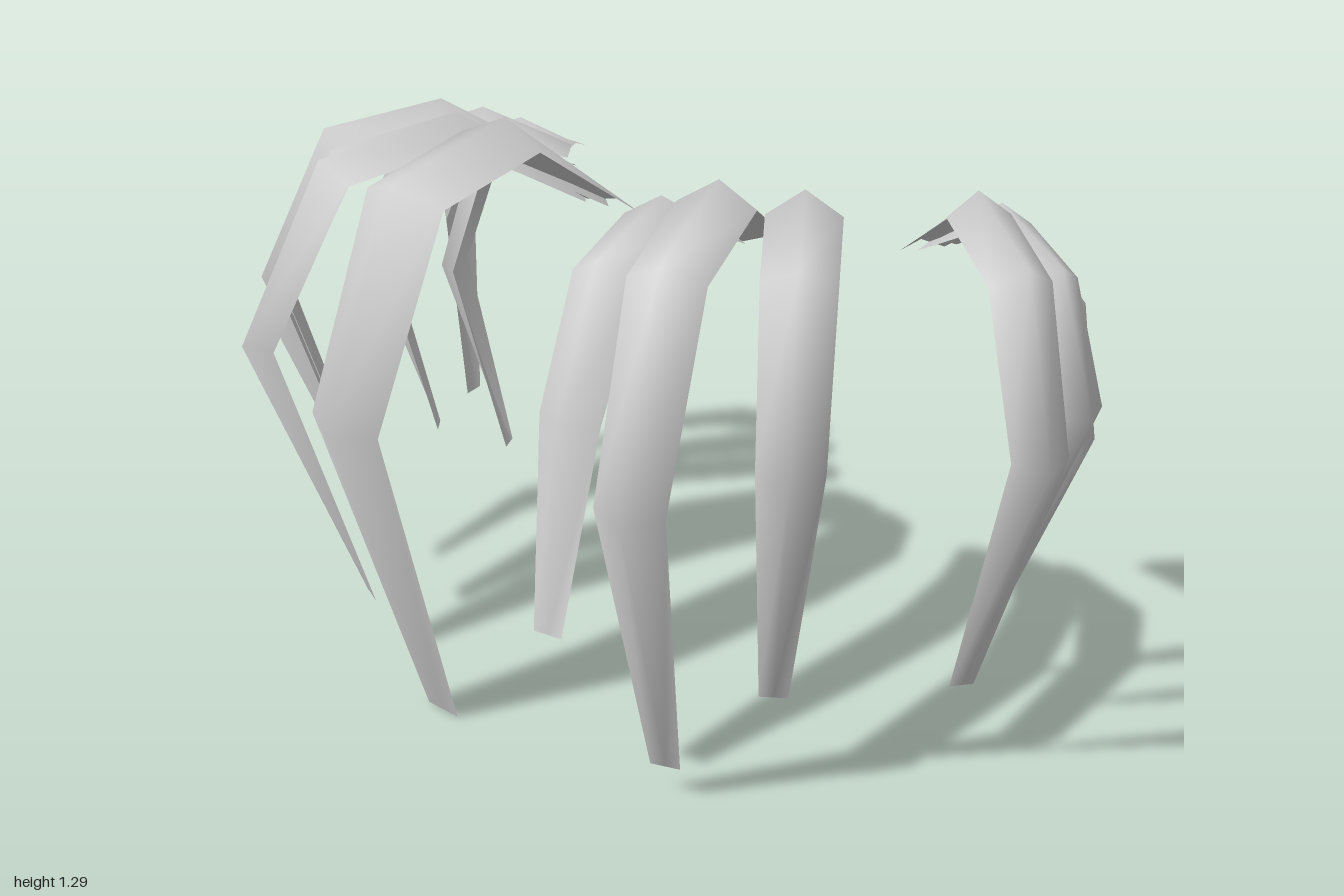
import * as THREE from 'three';

const material = new THREE.MeshStandardMaterial({ color: 0xcccccc, side: THREE.DoubleSide });

// Width and edge fold at root, crown, shoulder, elbow and tip.
const WIDTH = [0.11, 0.15, 0.145, 0.13, 0.06];
const FOLD = [0.02, 0.05, 0.055, 0.05, 0];

// A lock is an open strip, three vertices wide, with a raised ridge.
// The ridge arches from the root over a crown and shoulder to the elbow, then drops to the tip.
function makeLock(name, scale, [rootX, rootZ], crownY, elbowAt, tipAt) {
  const root = new THREE.Vector3(rootX, Math.min(1.03, crownY - 0.04), rootZ);
  const elbow = new THREE.Vector3(...elbowAt);
  const tip = new THREE.Vector3(...tipAt);
  const crown = root.clone().lerp(elbow, 0.4).setY(crownY);
  const shoulder = root.clone().lerp(elbow, 0.77).setY(crownY - 0.065);
  const ridge = [root, crown, shoulder, elbow, tip];

  const out = elbow.clone().sub(root).setY(0).normalize();
  const side = new THREE.Vector3(out.z, 0, -out.x);
  const positions = [];
  const index = [];
  ridge.forEach((point, i) => {
    const before = ridge[Math.max(i - 1, 0)];
    const after = ridge[Math.min(i + 1, ridge.length - 1)];
    const outward = after.clone().sub(before).cross(side).normalize();
    for (const s of [-1, 0, 1]) {
      const v = point.clone().addScaledVector(side, (s * scale * WIDTH[i]) / 2);
      v.addScaledVector(outward, -Math.abs(s) * FOLD[i]);
      positions.push(v.x, v.y, v.z);
    }
    if (i === 0) return;
    for (let c = 0; c < 2; c++) {
      const a = (i - 1) * 3 + c;
      index.push(a, a + 3, a + 1, a + 1, a + 3, a + 4);
    }
  });

  const geometry = new THREE.BufferGeometry();
  geometry.setAttribute('position', new THREE.Float32BufferAttribute(positions, 3));
  geometry.setIndex(index);
  geometry.computeVertexNormals();
  const mesh = new THREE.Mesh(geometry, material);
  mesh.name = name;
  return mesh;
}

export function createModel() {
  const group = new THREE.Group();
  group.name = 'hairLocks';
  const lock = (...args) => group.add(makeLock(...args));

  // Front locks, fanned out on either side of the parting
  lock('frontRightInnerLock', 1.5, [-0.21, -0.23], 1.29, [-0.28, 0.76, 0.63], [-0.25, 0, 0.36]);
  lock('frontRightMiddleLock', 1.05, [-0.27, -0.25], 1.25, [-0.67, 0.8, 0.48], [-0.54, 0.15, 0.27]);
  lock('frontRightOuterLock', 1, [-0.32, -0.25], 1.22, [-0.78, 0.81, 0.31], [-0.62, 0.23, 0.14]);
  lock('frontLeftInnerLock', 1.08, [0.09, -0.2], 1.18, [0.15, 0.84, 0.44], [0.185, 0.42, 0.52]);
  lock('frontLeftMiddleLock', 1.08, [0.19, -0.23], 1.26, [0.43, 0.77, 0.61], [0.34, 0.08, 0.34]);
  lock('frontLeftOuterLock', 1, [0.27, -0.24], 1.24, [0.64, 0.82, 0.38], [0.5, 0.23, 0.19]);

  // Right side locks, front to rear
  lock('sideRightFrontLock', 0.87, [-0.45, -0.36], 1.19, [-1, 0.77, 0.11], [-0.8, 0.19, -0.02]);
  lock('sideRightMiddleLock', 0.87, [-0.54, -0.48], 1.12, [-0.965, 0.8, -0.18], [-0.81, 0.3, -0.27]);
  lock('sideRightRearLock', 0.87, [-0.56, -0.51], 1.01, [-0.88, 0.68, -0.38], [-0.7, 0.23, -0.41]);
  lock('rearRightLock', 0.95, [-0.6, -0.57], 1.04, [-1, 0.76, -0.53], [-0.93, 0.27, -0.54]);

  // Left side locks, front to rear
  lock('sideLeftFrontLock', 0.87, [0.45, -0.4], 1.23, [1, 0.83, 0.07], [0.78, 0.23, -0.08]);
  lock('sideLeftMiddleLock', 0.87, [0.47, -0.42], 1.18, [0.98, 0.85, -0.14], [0.78, 0.39, -0.22]);
  lock('sideLeftRearLock', 0.95, [0.55, -0.54], 1.03, [0.87, 0.66, -0.37], [0.67, 0.2, -0.41]);

  return group;
}
